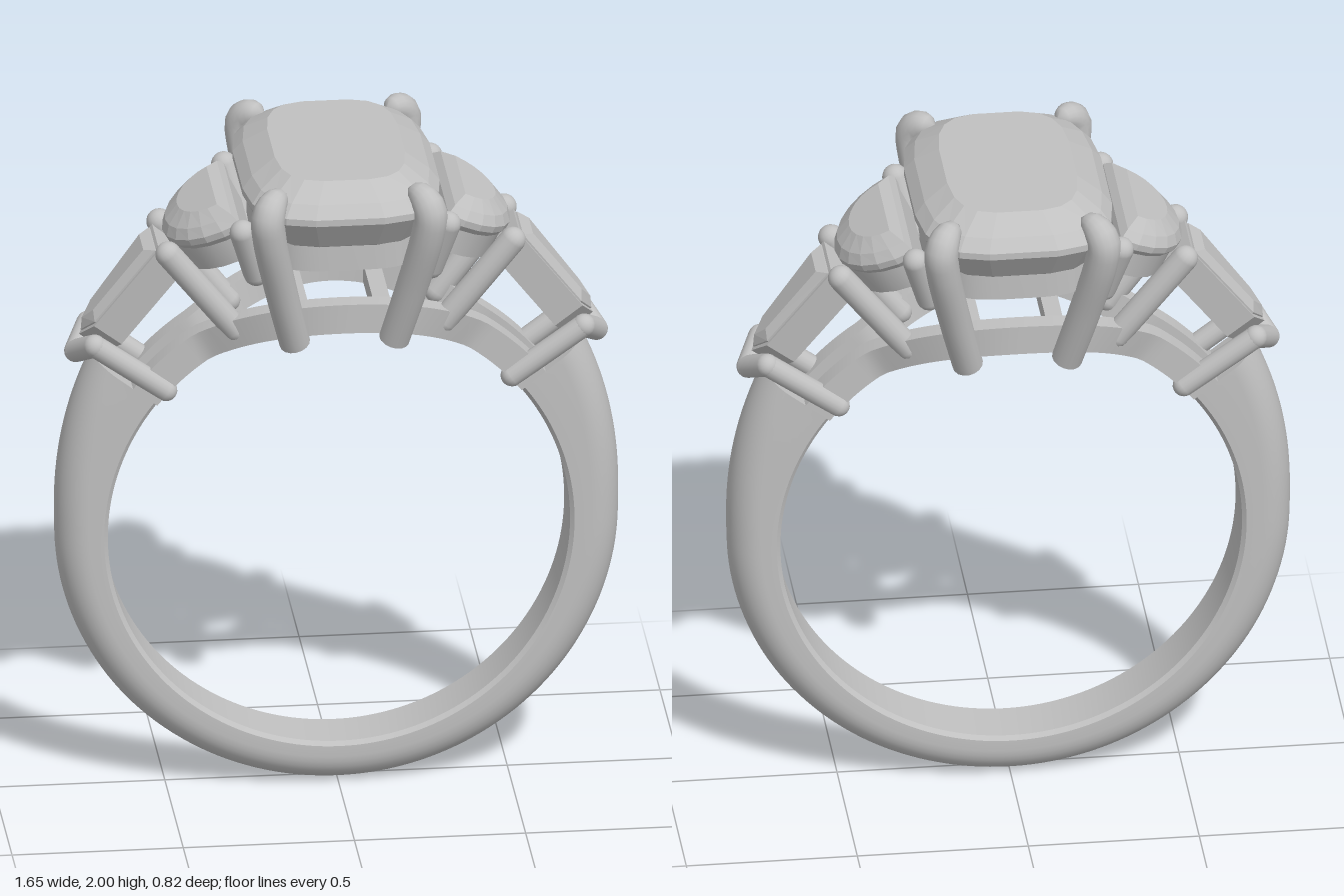
import * as THREE from 'three';
import { toCreasedNormals } from 'three/addons/utils/BufferGeometryUtils.js';

const CY = 0.81, INNER = 0.675; // finger hole centre height and radius
const rad = THREE.MathUtils.degToRad;

// Skin a list of closed rings, capped at both ends; crease 0 gives flat facets
function loft(rings, crease = 0) {
  const pos = [];
  const tri = (...pts) => pts.forEach((p) => pos.push(p.x, p.y, p.z));
  const n = rings[0].length;
  const mid = (ring) => ring.reduce((s, p) => s.add(p), new THREE.Vector3()).divideScalar(n);
  const top = mid(rings[0]), last = rings[rings.length - 1], end = mid(last);
  for (let j = 0; j < n; j++) {
    const k = (j + 1) % n;
    for (let i = 0; i < rings.length - 1; i++) {
      tri(rings[i][j], rings[i][k], rings[i + 1][j]);
      tri(rings[i][k], rings[i + 1][k], rings[i + 1][j]);
    }
    tri(top, rings[0][k], rings[0][j]);
    tri(end, last[j], last[k]);
  }
  const geo = new THREE.BufferGeometry();
  geo.setAttribute('position', new THREE.Float32BufferAttribute(pos, 3));
  geo.computeVertexNormals();
  return crease ? toCreasedNormals(geo, crease) : geo;
}

// Faceted stone: outline [x, z] scaled about cx at each [scaleX, scaleZ, y] level
function cutStone(outline, cx, levels) {
  return loft(levels.map(([sx, sz, y]) =>
    outline.map(([x, z]) => new THREE.Vector3(cx + (x - cx) * sx, y, z * sz))));
}

// Hollow wall following an outline, hanging down from y = 0
function wall(outline, cx, outer, inner, depth) {
  const pts = (s) => outline.map(([x, z]) => new THREE.Vector2(cx + (x - cx) * s, z * s));
  const shape = new THREE.Shape(pts(outer));
  shape.holes.push(new THREE.Path(pts(inner)));
  const geo = new THREE.ExtrudeGeometry(shape, { depth, bevelEnabled: false });
  return toCreasedNormals(geo.rotateX(Math.PI / 2), 0.5);
}

function cushion(ax, az, count) {
  const p = 2 / 3.5, out = [];
  for (let i = 0; i < count; i++) {
    const a = ((i + 0.5) / count) * Math.PI * 2, c = Math.cos(a), s = Math.sin(a);
    out.push([Math.sign(c) * ax * Math.abs(c) ** p, Math.sign(s) * az * Math.abs(s) ** p]);
  }
  return out;
}

// Round rod along a curve with a radius rule
function rod(points, radius, steps = 28, sides = 16) {
  const curve = new THREE.CatmullRomCurve3(points.map((p) => new THREE.Vector3(...p)), false, 'centripetal');
  const { normals, binormals } = curve.computeFrenetFrames(steps);
  const rings = [];
  for (let i = 0; i <= steps; i++) {
    const c = curve.getPointAt(i / steps), r = radius(i / steps), ring = [];
    for (let j = 0; j < sides; j++) {
      const a = (j / sides) * Math.PI * 2;
      ring.push(c.clone().addScaledVector(normals[i], r * Math.cos(a)).addScaledVector(binormals[i], r * Math.sin(a)));
    }
    rings.push(ring);
  }
  return loft(rings, 1);
}

// Straight round-ended bar between two points
function bar(a, b, r) {
  const p = new THREE.Vector3(...a), q = new THREE.Vector3(...b), d = q.clone().sub(p);
  const geo = new THREE.CapsuleGeometry(r, d.length(), 6, 16);
  geo.applyQuaternion(new THREE.Quaternion().setFromUnitVectors(new THREE.Vector3(0, 1, 0), d.normalize()));
  return geo.translate(...p.add(q).multiplyScalar(0.5).toArray());
}

export function createModel() {
  const silver = new THREE.MeshStandardMaterial({ color: 0xc0c0c0 });
  silver.name = 'silver grey';
  const model = new THREE.Group();
  model.name = 'ring';
  const add = (parent, name, geo) => {
    const mesh = new THREE.Mesh(geo, silver);
    mesh.name = name;
    parent.add(mesh);
    return mesh;
  };

  // Band: flat inside, domed outside, thickening towards the shoulders
  const bandRings = [];
  for (let i = 0; i <= 120; i++) {
    const deg = 38 - (256 * i) / 120, t = rad(deg);
    const up = Math.max(0, deg, -180 - deg);
    const outer = 0.81 + 0.013 * (Math.sin(t) + 1) + 0.08 * (up / 38) ** 1.6;
    const section = [];
    for (let k = 0; k <= 16; k++) {
      const a = -Math.PI / 2 + (k / 16) * Math.PI;
      section.push([outer - 0.09 + 0.09 * Math.cos(a), 0.093 * Math.sin(a)]);
    }
    section.push([INNER + 0.012, 0.092], [INNER, 0.08], [INNER, -0.08], [INNER + 0.012, -0.092]);
    bandRings.push(section.map(([r, z]) => new THREE.Vector3(r * Math.cos(t), CY + r * Math.sin(t), z)));
  }
  add(model, 'band', loft(bandRings, 0.6));

  // Two gallery rails over the finger, bowing outwards below the centre stone
  for (const s of [1, -1]) {
    const rings = [];
    for (let i = 0; i <= 48; i++) {
      const t = rad(142 - (104 * i) / 48);
      const x = 0.72 * Math.cos(t);
      const bow = Math.abs(x) < 0.4 ? Math.cos((x / 0.4) * Math.PI / 2) : 0;
      const z = s * (0.065 + 0.13 * bow);
      rings.push([[0.765, -0.03], [0.765, 0.03], [INNER, 0.03], [INNER, -0.03]].map(([r, dz]) =>
        new THREE.Vector3(r * Math.cos(t), CY + r * Math.sin(t), z + dz)));
    }
    add(model, 'galleryRail', loft(rings, 0.5));
    add(model, 'galleryCrossbar', new THREE.BoxGeometry(0.05, 0.06, 0.36).translate(s * 0.12, 1.515, 0));
  }

  // Centre stone and the seat below it
  add(model, 'centreStone', cutStone(cushion(0.29, 0.4, 20), 0, [
    [0.66, 0.74, 2.0], [0.9, 0.92, 1.955], [1, 1, 1.92], [1, 1, 1.9],
    [0.84, 0.84, 1.81], [0.5, 0.5, 1.72], [0.01, 0.01, 1.62]]));
  add(model, 'centreSeat', wall(cushion(0.25, 0.33, 64), 0, 1, 0.84, 0.11).translate(0, 1.84, 0));

  // Four claws that bend over the corners of the centre stone
  for (const sx of [1, -1]) for (const sz of [1, -1]) {
    const path = [[0.145, 1.465, 0.23], [0.19, 1.65, 0.288], [0.232, 1.85, 0.35],
      [0.236, 1.92, 0.357], [0.215, 1.955, 0.33], [0.18, 1.965, 0.295]];
    const radius = (t) => t < 0.8 ? 0.045 + 0.006 * t : 0.05 * Math.sqrt(Math.max(0.01, 1 - ((t - 0.8) / 0.2) ** 2));
    add(model, 'centreClaw', rod(path.map(([x, y, z]) => [x * sx, y, z * sz]), radius));
  }

  // One shoulder: half-moon stone, tapered stone, their seats and prongs
  const shoulder = new THREE.Group();
  shoulder.name = 'shoulder';

  const moon = [];
  for (let i = 0; i <= 12; i++) {
    const a = -Math.PI / 2 + (i / 12) * Math.PI;
    moon.push([0.23 * Math.cos(a), 0.225 * Math.sin(a)]);
  }
  const moonSetting = new THREE.Group();
  moonSetting.name = 'halfMoonSetting';
  moonSetting.position.set(0.3, 1.84, 0);
  moonSetting.rotation.z = rad(-28);
  add(moonSetting, 'halfMoonStone', cutStone(moon, 0.08, [
    [0.5, 0.62, 0.06], [0.85, 0.88, 0.035], [1, 1, 0.01], [1, 1, -0.01], [0.7, 0.7, -0.09], [0.1, 0.3, -0.16]]));
  add(moonSetting, 'halfMoonSeat', wall(moon, 0.08, 0.93, 0.76, 0.09).translate(0, -0.015, 0));
  shoulder.add(moonSetting);

  const taper = [[0, -0.095], [0.3, -0.062], [0.36, 0], [0.3, 0.062], [0, 0.095]];
  const taperSetting = new THREE.Group();
  taperSetting.name = 'taperedSetting';
  taperSetting.position.set(0.53, 1.715, 0);
  taperSetting.rotation.z = rad(-53);
  add(taperSetting, 'taperedStone', cutStone(taper, 0.16, [
    [0.8, 0.6, 0.025], [0.96, 0.9, 0.005], [0.96, 0.9, -0.01], [0.7, 0.3, -0.09]]));
  add(taperSetting, 'taperedSeat', wall(taper, 0.16, 1.03, 0.86, 0.1));
  shoulder.add(taperSetting);

  for (const s of [1, -1]) {
    add(shoulder, 'innerProng', bar([0.255, 1.68, 0.205 * s], [0.3, 1.83, 0.252 * s], 0.038));
    add(shoulder, 'outerProng', bar([0.305, 1.465, 0.108 * s], [0.503, 1.715, 0.122 * s], 0.038));
    add(shoulder, 'collarBar', bar([0.505, 1.268, 0.08 * s], [0.715, 1.42, 0.088 * s], 0.033));
    add(shoulder, 'collarChevron', bar([0.715, 1.42, 0.088 * s], [0.76, 1.37, 0], 0.034));
  }
  model.add(shoulder);
  const mirrored = shoulder.clone();
  mirrored.rotation.y = Math.PI;
  model.add(mirrored);
  return model;
}
